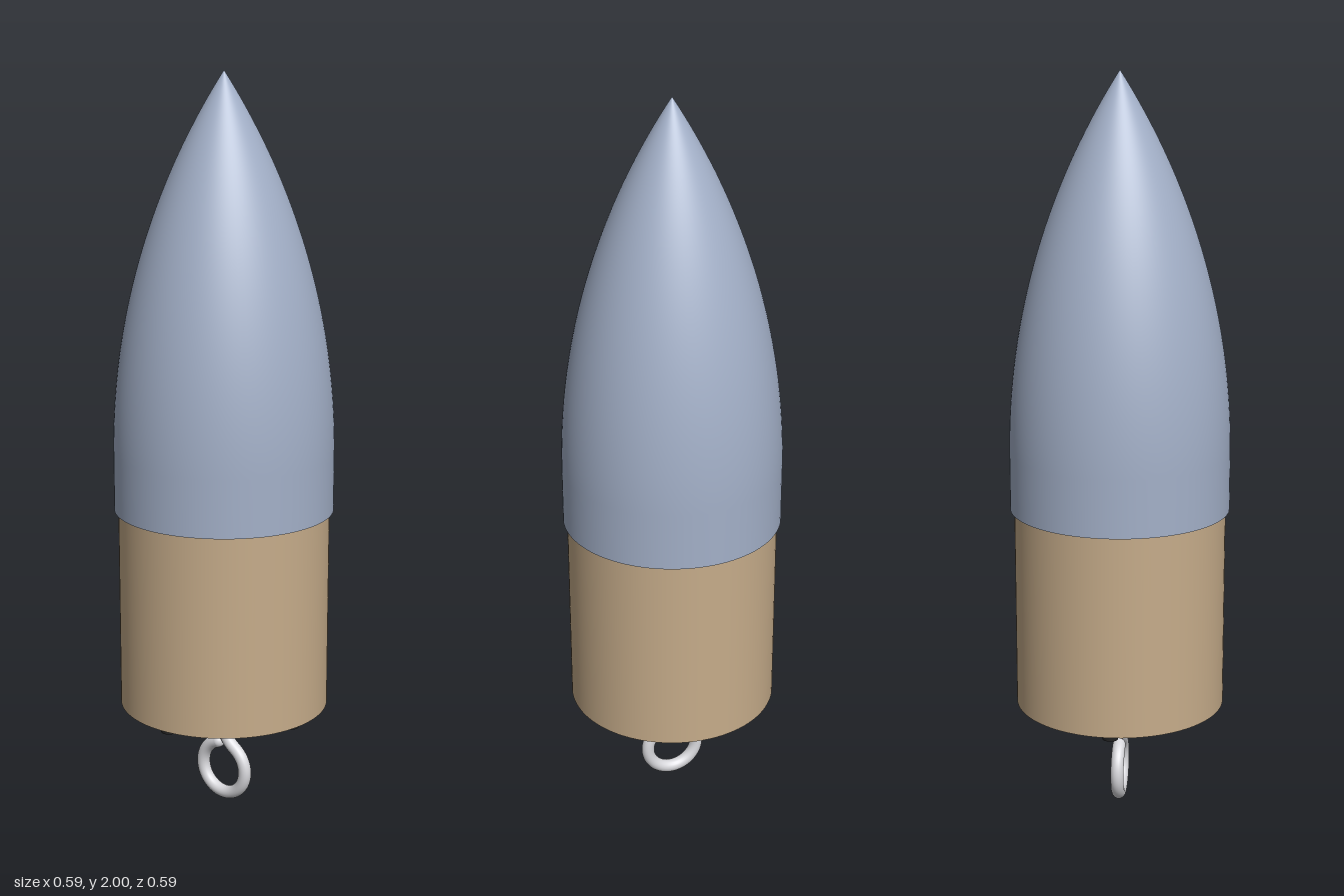
import * as THREE from 'three';

const mat = (name, color) => {
  const m = new THREE.MeshStandardMaterial({ color });
  m.name = name;
  return m;
};

export function createModel() {
  const model = new THREE.Group();
  model.name = 'noseConeAssembly';
  const blueGrey = mat('blueGrey', 0xa3b0c8);
  const tan = mat('tan', 0xc6ac8a);
  const navy = mat('navy', 0x3e4880);
  const black = mat('black', 0x222222);
  const steel = mat('steel', 0xd8d8dc);

  const add = (name, geometry, material, parent = model) => {
    const mesh = new THREE.Mesh(geometry, material);
    mesh.name = name;
    parent.add(mesh);
    return mesh;
  };
  const V = (x, y) => new THREE.Vector2(x, y);

  // Tangent ogive above a short straight collar
  const R = 0.295, collarY = 0.846, shoulder = 1.0, L = 2 - shoulder;
  const rho = (R * R + L * L) / (2 * R);
  const profile = [V(R, collarY)];
  for (let i = 0; i <= 40; i++) {
    const h = (L * i) / 40;
    profile.push(V(Math.max(0, Math.sqrt(rho * rho - h * h) + R - rho), shoulder + h));
  }
  add('noseCone', new THREE.LatheGeometry(profile, 96), blueGrey);

  // Flat underside of the collar
  const rim = add('noseConeRim', new THREE.RingGeometry(0.27, R, 96), blueGrey);
  rim.rotation.x = Math.PI / 2;
  rim.position.y = collarY;

  // Thin-walled shoulder tube
  const tubeR = 0.284, innerR = 0.276, baseY = 0.297;
  const tube = add('shoulderTube', new THREE.CylinderGeometry(tubeR, tubeR, 0.56, 96, 1, true), tan);
  tube.position.y = baseY + 0.28;
  const lip = add('tubeLip', new THREE.RingGeometry(innerR, tubeR, 96), tan);
  lip.rotation.x = Math.PI / 2;
  lip.position.y = baseY;

  // Bulkhead closing the tube
  const plate = add('bulkhead', new THREE.CylinderGeometry(innerR, innerR, 0.03, 96), navy);
  plate.position.y = baseY + 0.015;

  // Four screw heads around the bulkhead
  for (let i = 0; i < 4; i++) {
    const a = (i * Math.PI) / 2;
    const screw = add('screw', new THREE.CylinderGeometry(0.021, 0.021, 0.035, 24), black);
    screw.position.set(0.232 * Math.cos(a), baseY - 0.0065, 0.232 * Math.sin(a));
  }

  // Eye bolt: straight shank bending into an open loop
  const eye = new THREE.Group();
  eye.name = 'eyeBolt';
  model.add(eye);
  const cy = 0.097, ringR = 0.074, wire = 0.018;
  const path = [[0, 0.32], [0, 0.27], [0, 0.225], [0.004, 0.198], [0.022, 0.174]]
    .map(([x, y]) => new THREE.Vector3(x, y, 0));
  for (let i = 0; i <= 20; i++) {
    const a = THREE.MathUtils.degToRad(47 - 15.05 * i);
    path.push(new THREE.Vector3(ringR * Math.cos(a), cy + ringR * Math.sin(a), 0));
  }
  const curve = new THREE.CatmullRomCurve3(path);
  add('eyeWire', new THREE.TubeGeometry(curve, 120, wire, 20), steel, eye);
  add('eyeWireEnd', new THREE.SphereGeometry(wire, 20, 14), steel, eye)
    .position.copy(path[path.length - 1]);

  // Stand the loop exactly on the ground
  eye.position.y = -(cy - ringR - wire);
  return model;
}
